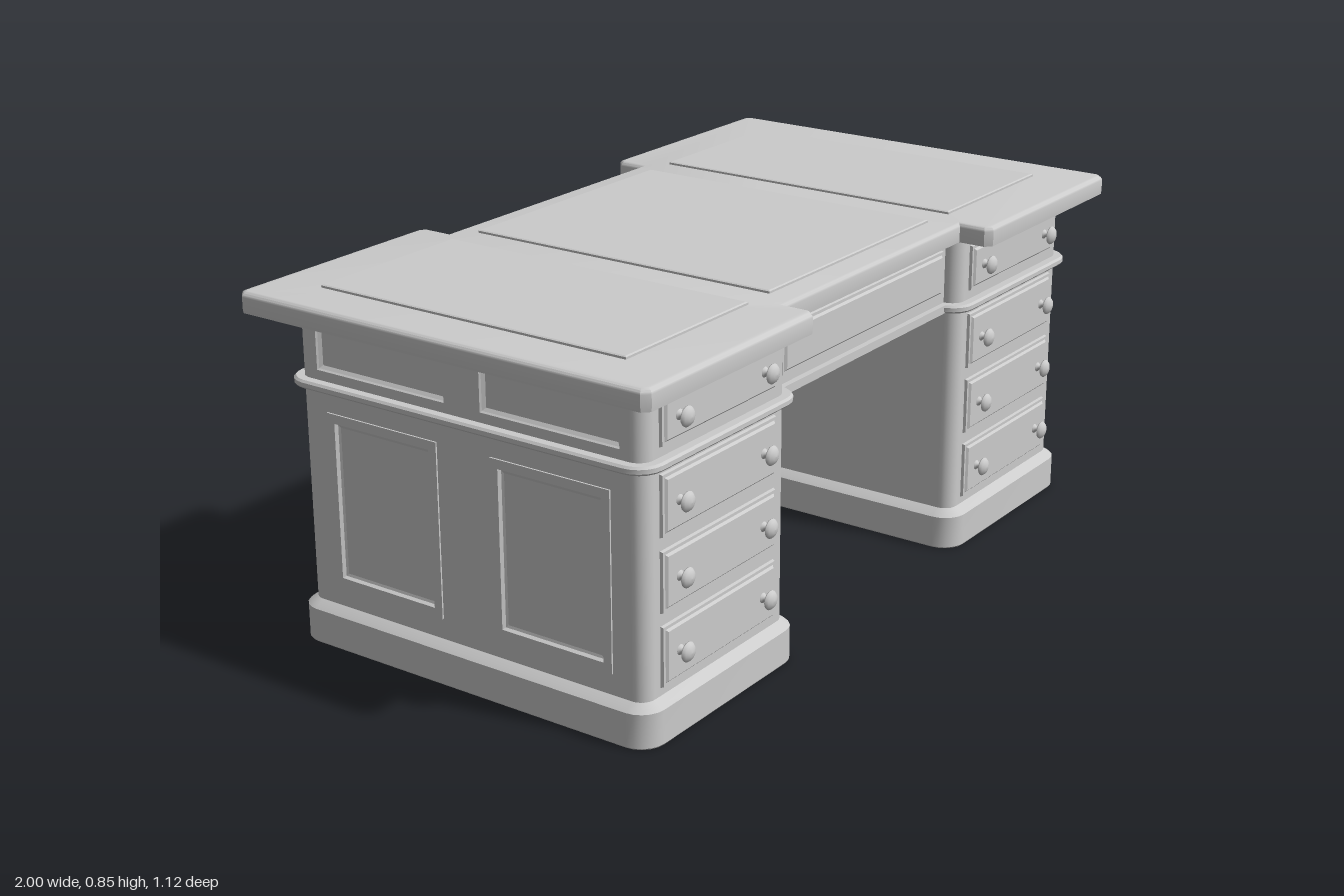
import * as THREE from 'three';
import { toCreasedNormals } from 'three/addons/utils/BufferGeometryUtils.js';

const material = new THREE.MeshStandardMaterial({ color: 0xcccccc, side: THREE.DoubleSide });

// Pedestal footprint: centre, half sizes and corner radius
const PX = 0.6425, PZ = 0.003, HX = 0.2675, HZ = 0.479, R = 0.035;

const DRAWER = [[0, 0], [0.002, 0.007], [0.009, 0.007], [0.014, 0.012]];
const FRAMED = [[0, 0], [0, 0.004], [0.022, 0.004], [0.026, -0.004], [0.032, -0.006]];
const SUNK = [[0, 0], [0.003, -0.004], [0.01, -0.01]];
const INLAY = [[0, 0], [0, 0.005], [0.004, 0.007]];

function part(name, geometry, x = 0, y = 0, z = 0) {
  const mesh = new THREE.Mesh(geometry, material);
  mesh.name = name;
  mesh.position.set(x, y, z);
  return mesh;
}

function fromTriangles(points) {
  const g = new THREE.BufferGeometry().setFromPoints(points);
  g.computeVertexNormals();
  return g;
}

// Rectangular panel facing +z, built from nested loops of [inset, depth]
function panelGeometry(w, h, profile) {
  const corners = [[-1, -1], [1, -1], [1, 1], [-1, 1]];
  const loops = profile.map(([inset, depth]) => corners.map(([cx, cy]) =>
    new THREE.Vector3(cx * (w / 2 - inset), cy * (h / 2 - inset), depth)));
  const tris = [];
  for (let i = 0; i < loops.length - 1; i++) {
    for (let j = 0; j < 4; j++) {
      const k = (j + 1) % 4, a = loops[i], b = loops[i + 1];
      tris.push(a[j], a[k], b[k], a[j], b[k], b[j]);
    }
  }
  const f = loops[loops.length - 1];
  tris.push(f[0], f[1], f[2], f[0], f[2], f[3]);
  return fromTriangles(tris);
}

// Moulding swept round the pedestal, profile of [offset, y]
function mouldingGeometry(profile) {
  const steps = 5;
  const loops = profile.map(([o, y]) => {
    const loop = [];
    for (let q = 0; q < 4; q++) {
      const sx = q === 0 || q === 3 ? 1 : -1, sz = q < 2 ? 1 : -1;
      for (let i = 0; i <= steps; i++) {
        const a = (q + i / steps) * Math.PI / 2;
        loop.push(new THREE.Vector3(sx * (HX - R) + Math.cos(a) * (R + o), y,
          sz * (HZ - R) + Math.sin(a) * (R + o)));
      }
    }
    return loop;
  });
  const tris = [];
  for (let i = 0; i < loops.length - 1; i++) {
    const a = loops[i], b = loops[i + 1];
    for (let j = 0; j < a.length; j++) {
      const k = (j + 1) % a.length;
      tris.push(a[j], b[j], a[k], b[j], b[k], a[k]);
    }
  }
  return toCreasedNormals(fromTriangles(tris), 0.5);
}

// Flat wall facing +z with panels set into openings: [x, y, w, h, profile]
function wall(name, w, y0, y1, panels = []) {
  const group = new THREE.Group();
  group.name = name;
  const rect = (P, x0, b, x1, t) => {
    const p = new P();
    p.moveTo(x0, b); p.lineTo(x1, b); p.lineTo(x1, t); p.lineTo(x0, t); p.closePath();
    return p;
  };
  const shape = rect(THREE.Shape, -w / 2, y0, w / 2, y1);
  for (const [x, y, pw, ph, profile] of panels) {
    shape.holes.push(rect(THREE.Path, x - pw / 2, y - ph / 2, x + pw / 2, y + ph / 2));
    group.add(part('insetPanel', panelGeometry(pw, ph, profile), x, y));
  }
  group.add(part('wallFace', new THREE.ShapeGeometry(shape)));
  return group;
}

function place(object, x, z, turn) {
  object.position.set(x, 0, z);
  object.rotation.y = turn;
  return object;
}

const knobGeometry = new THREE.LatheGeometry(
  [[0.013, 0], [0.011, 0.004], [0.006, 0.008], [0.006, 0.018], [0.022, 0.02], [0.023, 0.023],
    [0.018, 0.029], [0.009, 0.033], [0, 0.034]].map(([r, y]) => new THREE.Vector2(r, y)), 20);
knobGeometry.rotateX(Math.PI / 2);

function pedestal(s) {
  const g = new THREE.Group();
  g.name = s > 0 ? 'leftPedestal' : 'rightPedestal';
  g.position.set(s * PX, 0, PZ);
  const y0 = 0.083, y1 = 0.8, wx = 2 * (HX - R), wz = 2 * (HZ - R);

  // Walls with recessed panels on the outer side and the back
  const sidePanels = [-1, 1].flatMap(k => [
    [k * 0.235, 0.36, 0.32, 0.42, FRAMED], [k * 0.235, 0.72, 0.37, 0.11, SUNK]]);
  g.add(place(wall('frontWall', wx, y0, y1), 0, HZ, 0));
  g.add(place(wall('backWall', wx, y0, y1,
    [[0, 0.36, 0.41, 0.42, FRAMED], [0, 0.72, 0.42, 0.11, SUNK]]), 0, -HZ, Math.PI));
  g.add(place(wall('outerWall', wz, y0, y1, sidePanels), s * HX, 0, s * Math.PI / 2));
  g.add(place(wall('innerWall', wz, y0, y1), -s * HX, 0, -s * Math.PI / 2));

  // Rounded corner posts
  [[1, 1], [1, -1], [-1, -1], [-1, 1]].forEach(([cx, cz], i) => {
    const post = new THREE.CylinderGeometry(R, R, y1 - y0, 6, 1, true, i * Math.PI / 2, Math.PI / 2);
    g.add(part('cornerPost', post, cx * (HX - R), (y0 + y1) / 2, cz * (HZ - R)));
  });

  // Hollow plinth and waist moulding
  g.add(part('plinth', mouldingGeometry([[-0.012, 0.08], [0.006, 0.08], [0.006, 0],
    [0.022, 0], [0.024, 0.003], [0.024, 0.083], [0.016, 0.09], [0, 0.1]])));
  g.add(part('waistMoulding', mouldingGeometry([[0, 0.622], [0.02, 0.622], [0.025, 0.627],
    [0.025, 0.637], [0.02, 0.642], [0, 0.642]])));

  // Drawers with a pair of knobs each
  for (const [y, h] of [[0.19, 0.142], [0.362, 0.142], [0.534, 0.142], [0.722, 0.115]]) {
    g.add(part('drawerFront', panelGeometry(0.425, h, DRAWER), 0, y, HZ));
    for (const k of [-1, 1]) g.add(part('knob', knobGeometry, k * 0.157, y, HZ + 0.01));
  }
  return g;
}

// Table top with deeper wings and a rounded upper edge
function topGeometry() {
  const b = 0.014, xo = 1 - b, zw = 0.56 - b, xi = 0.385 + b, zc = 0.477 - b, c = 0.008;
  const quarter = [[xi, zc], [xi, zw - c], [xi + c, zw], [xo - c, zw], [xo, zw - c]];
  const mirror = (sx, sz) => quarter.map(([x, z]) => new THREE.Vector2(sx * x, sz * z));
  const outline = [...mirror(1, 1).reverse(), ...mirror(-1, 1),
    ...mirror(-1, -1).reverse(), ...mirror(1, -1)];
  const g = new THREE.ExtrudeGeometry(new THREE.Shape(outline), {
    depth: 0.026, bevelEnabled: true, bevelSize: b, bevelThickness: 0.012, bevelSegments: 4 });
  // Square off the lower edge
  const p = g.attributes.position;
  for (let i = 0; i < p.count; i++) {
    if (p.getZ(i) < 0) p.setZ(i, -0.012 * (p.getZ(i) < -0.0119 ? 1 : 0.9));
  }
  g.rotateX(-Math.PI / 2);
  return toCreasedNormals(g, 0.6);
}

export function createModel() {
  const desk = new THREE.Group();
  desk.name = 'pedestalDesk';
  desk.add(pedestal(1), pedestal(-1));

  // Top and its three inlaid writing surfaces
  desk.add(part('tableTop', topGeometry(), 0, 0.808, 0));
  for (const [x, w, d] of [[-0.655, 0.44, 0.84], [0, 0.69, 0.83], [0.655, 0.44, 0.84]]) {
    const inlay = part('writingInlay', panelGeometry(w, d, INLAY), x, 0.846, -0.004);
    inlay.rotation.x = -Math.PI / 2;
    desk.add(inlay);
  }

  // Centre apron with drawer in front and a sunk panel behind
  const az = 0.445, aw = 0.77;
  desk.add(place(wall('apronFront', aw, 0.63, 0.8), 0, az, 0));
  desk.add(place(wall('apronBack', aw, 0.63, 0.8, [[0, 0.72, 0.7, 0.11, SUNK]]), 0, -az, Math.PI));
  desk.add(part('centreDrawer', panelGeometry(0.71, 0.115, DRAWER), 0, 0.722, az));
  desk.add(part('apronBase', new THREE.BoxGeometry(aw, 0.02, 0.92), 0, 0.632, 0));

  // Modesty panel between the pedestals
  desk.add(part('modestyPanel', new THREE.BoxGeometry(aw, 0.41, 0.016), 0, 0.425, -0.355));
  return desk;
}
